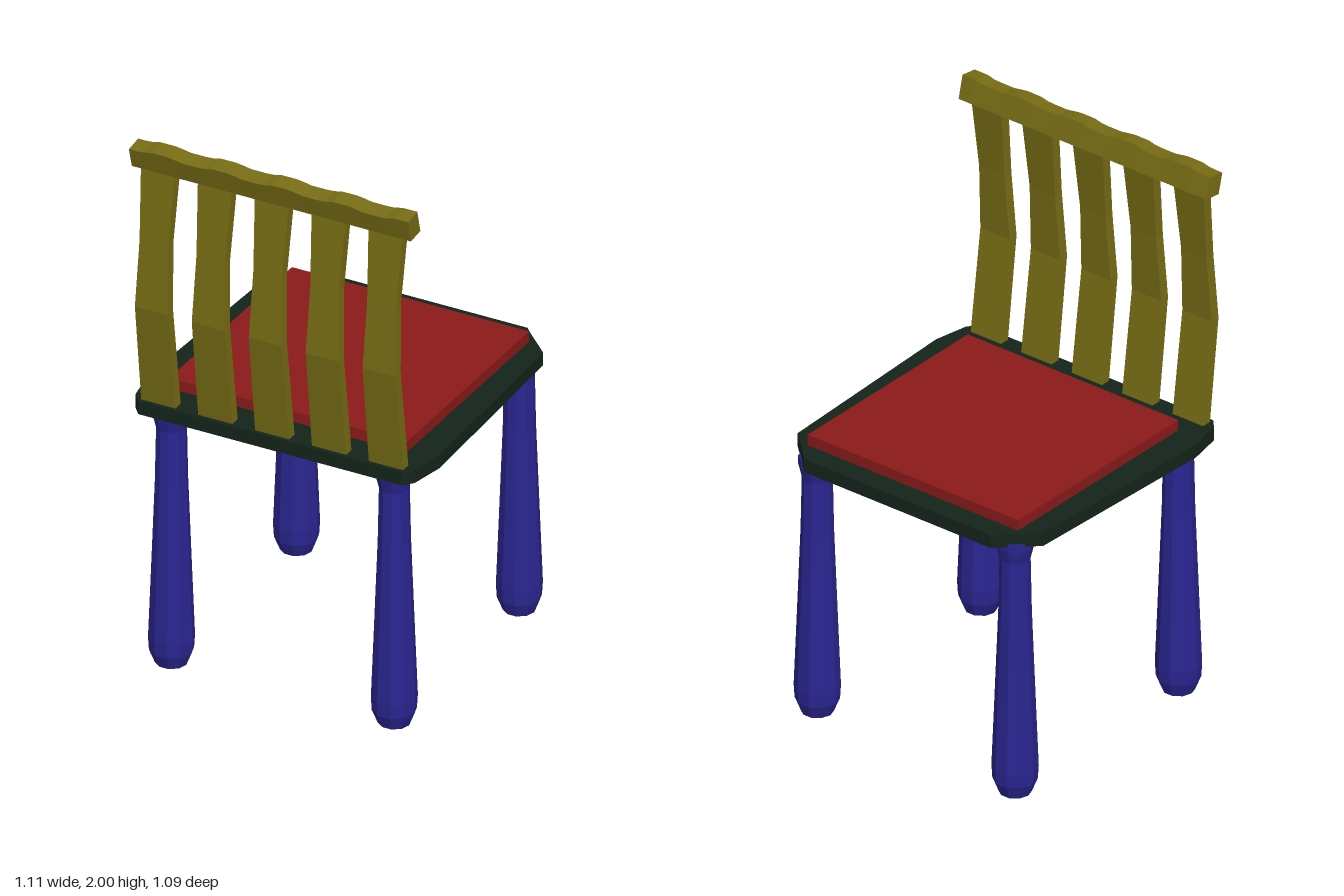
import * as THREE from 'three';

const paint = (color) => new THREE.MeshStandardMaterial({ color, flatShading: true });

function addPart(parent, name, geometry, material, x = 0, y = 0, z = 0) {
  const mesh = new THREE.Mesh(geometry, material);
  mesh.name = name;
  mesh.position.set(x, y, z);
  parent.add(mesh);
  return mesh;
}

// Move every vertex of a geometry by a rule
function reshape(geometry, rule) {
  const pos = geometry.attributes.position;
  const v = new THREE.Vector3();
  for (let i = 0; i < pos.count; i++) {
    v.fromBufferAttribute(pos, i);
    rule(v);
    pos.setXYZ(i, v.x, v.y, v.z);
  }
  geometry.computeVertexNormals();
  return geometry;
}

// Bent slat: rows of [height, centre z, width] from seat to rail
function slatGeometry() {
  const rows = [[1.0, 0.474, 0.13], [1.4, 0.525, 0.125], [1.65, 0.508, 0.108], [1.93, 0.478, 0.13]];
  const box = new THREE.BoxGeometry(1, 1, 0.037, 1, rows.length - 1, 1);
  return reshape(box, (v) => {
    const [y, z, width] = rows[Math.round((v.y + 0.5) * (rows.length - 1))];
    v.set(v.x * width, y, v.z + z);
  });
}

// Tilted rail with shallow flat-topped bumps along its upper face
function railGeometry() {
  const section = { back: [[0.5, 1.908], [0.52, 1.982]], front: [[0.435, 1.916], [0.456, 1.991]] };
  const box = new THREE.BoxGeometry(1.06, 1, 1, 37, 1, 1);
  return reshape(box, (v) => {
    const top = v.y > 0;
    const [z, y] = section[v.z > 0 ? 'back' : 'front'][top ? 1 : 0];
    const wave = Math.cos(((v.x + 0.41) / 0.23) * Math.PI * 2);
    const bump = top ? 0.009 * THREE.MathUtils.clamp(wave + 0.4, 0, 1) : 0;
    v.set(v.x, y + bump, z);
  });
}

export function createModel() {
  const model = new THREE.Group();
  model.name = 'chair';
  const wood = paint(0x776c15);
  const legPaint = paint(0x2a2590);

  // Seat board with cut corners, outlined on its +x half and mirrored
  const half = [[0.4, -0.545], [0.44, -0.505], [0.525, -0.425], [0.555, 0.347], [0.53, 0.475], [0.5, 0.51]];
  const outline = [...half, ...half.map(([x, z]) => [-x, z]).reverse()];
  const shape = new THREE.Shape(outline.map(([x, z]) => new THREE.Vector2(x, z)));
  const board = new THREE.ExtrudeGeometry(shape, { depth: 0.05, bevelEnabled: false });
  board.rotateX(Math.PI / 2);
  addPart(model, 'seat', board, paint(0x14241a), 0, 1.02, 0);

  // Cushion
  addPart(model, 'cushion', new THREE.BoxGeometry(0.9, 0.045, 0.85), paint(0x8b1a1a), 0, 1.0375, -0.04);

  // Ten-sided turned legs
  const profile = [[0, 0], [0.056, 0], [0.076, 0.05], [0.079, 0.1], [0.07, 0.33],
    [0.056, 0.7], [0.052, 0.9], [0.064, 0.95], [0.064, 0.98], [0, 0.98]];
  const leg = new THREE.LatheGeometry(profile.map(([r, y]) => new THREE.Vector2(r, y)), 10);
  leg.rotateY(Math.PI / 2);
  for (const x of [0.423, -0.423]) {
    const side = x > 0 ? 'left' : 'right';
    addPart(model, `${side}SlatSideLeg`, leg, legPaint, x, 0, 0.42);
    addPart(model, `${side}OpenSideLeg`, leg, legPaint, x, 0, -0.447);
  }

  // Backrest: five slats under a rail
  const backrest = new THREE.Group();
  backrest.name = 'backrest';
  const slat = slatGeometry();
  for (let i = 0; i < 5; i++) addPart(backrest, `slat${i + 1}`, slat, wood, (i - 2) * 0.216, 0, 0);
  addPart(backrest, 'topRail', railGeometry(), wood);
  model.add(backrest);

  return model;
}
